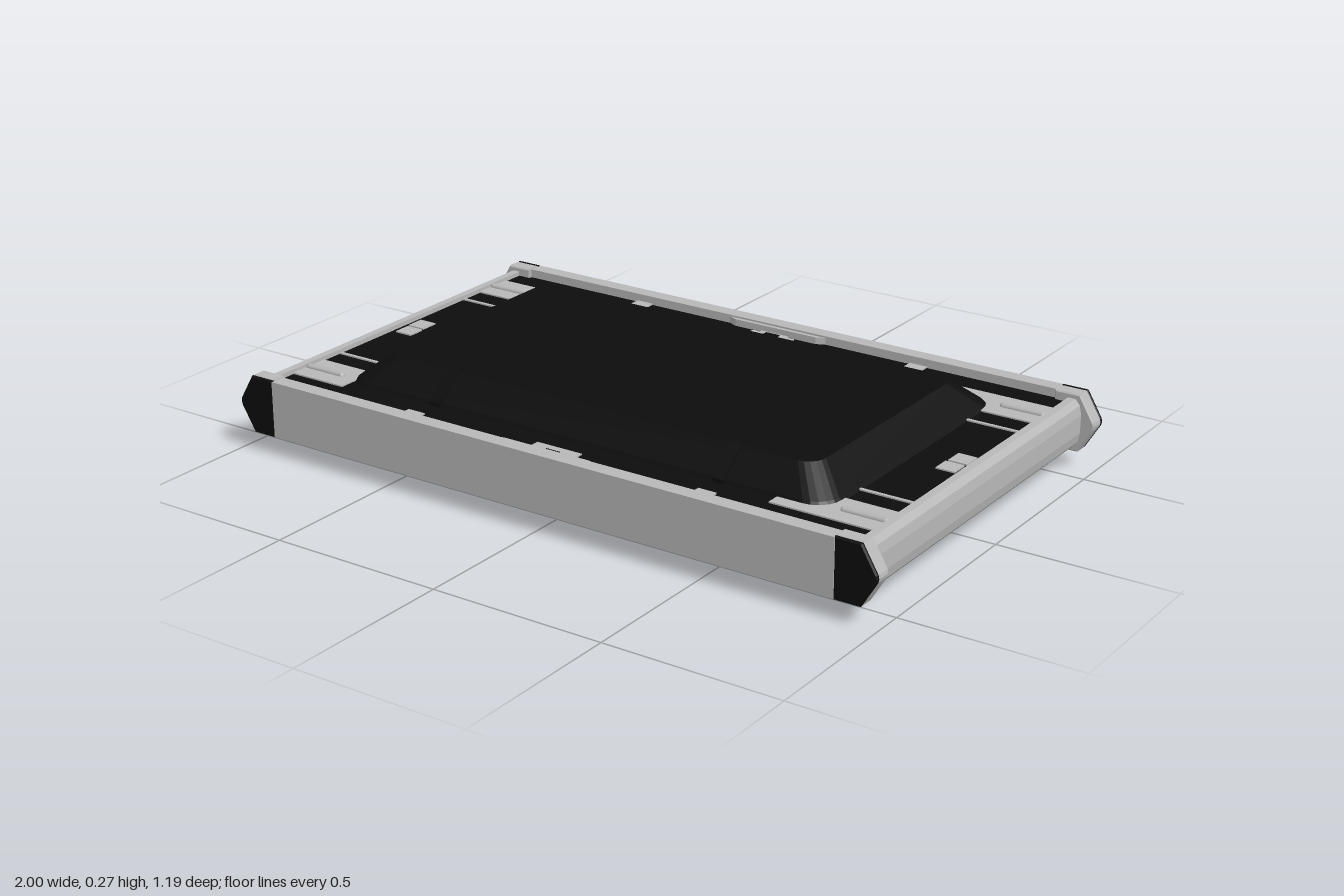
import * as THREE from 'three';

const MID = 0.135; // height of the horizontal symmetry plane

export function createModel() {
  const model = new THREE.Group();
  model.name = 'framedPanel';
  const grey = new THREE.MeshStandardMaterial({ color: 0xb8b8b8 });
  grey.name = 'greyMetal';
  const black = new THREE.MeshStandardMaterial({ color: 0x0d0d0d });
  black.name = 'blackPlastic';

  function add(name, geometry, material, x = 0, y = 0, z = 0) {
    const mesh = new THREE.Mesh(geometry, material);
    mesh.name = name;
    mesh.position.set(x, y, z);
    model.add(mesh);
    return mesh;
  }
  function box(name, material, x0, x1, y0, y1, z0, z1) {
    return add(name, new THREE.BoxGeometry(x1 - x0, y1 - y0, z1 - z0), material,
      (x0 + x1) / 2, (y0 + y1) / 2, (z0 + z1) / 2);
  }
  // Prism along z, centred on z = 0
  function prism(points, depth, bevel = 0) {
    const shape = new THREE.Shape(points.map(([x, y]) => new THREE.Vector2(x, y)));
    const g = new THREE.ExtrudeGeometry(shape, {
      depth: depth - 2 * bevel, bevelEnabled: bevel > 0, bevelSegments: 1,
      bevelSize: bevel, bevelThickness: bevel, bevelOffset: -bevel,
    });
    return g.translate(0, 0, -depth / 2 + bevel);
  }

  // Thin deck spanning the frame
  box('deck', black, -0.925, 0.925, 0.08, 0.19, -0.56, 0.56);

  // Raised centre pod: rounded rectangles stacked in height
  function loftPod(levels) {
    const pos = [], idx = [], n = 24;
    for (const [y, hx, hz, r] of levels) {
      for (let i = 0; i < n; i++) {
        const corner = Math.floor(i / 6);
        const a = (corner + (i % 6) / 5) * Math.PI / 2;
        const sx = corner === 0 || corner === 3 ? 1 : -1;
        const sz = corner < 2 ? 1 : -1;
        pos.push(sx * (hx - r) + r * Math.cos(a), y, sz * (hz - r) + r * Math.sin(a));
      }
    }
    for (let l = 0; l < levels.length - 1; l++) {
      for (let i = 0; i < n; i++) {
        const a = l * n + i, b = l * n + (i + 1) % n;
        idx.push(a, a + n, b, b, a + n, b + n);
      }
    }
    const top = (levels.length - 1) * n;
    for (let i = 1; i < n - 1; i++) {
      idx.push(0, i, i + 1, top, top + i + 1, top + i);
    }
    const indexed = new THREE.BufferGeometry();
    indexed.setAttribute('position', new THREE.Float32BufferAttribute(pos, 3));
    indexed.setIndex(idx);
    const g = indexed.toNonIndexed();
    g.computeVertexNormals();
    return g;
  }
  add('pod', loftPod([
    [0.005, 0.68, 0.355, 0.05], [0.07, 0.755, 0.428, 0.065], [0.08, 0.765, 0.435, 0.07],
    [0.19, 0.765, 0.435, 0.07], [0.2, 0.755, 0.428, 0.065], [0.265, 0.68, 0.355, 0.05],
  ]), black);

  // Straps running round the pod
  const strap = prism([
    [-0.357, 0], [0.357, 0], [0.436, 0.07], [0.436, 0.2],
    [0.357, 0.27], [-0.357, 0.27], [-0.436, 0.2], [-0.436, 0.07],
  ], 0.036).rotateY(Math.PI / 2);
  for (const x of [-0.45, 0.45]) add('strap', strap, black, x);

  // Side rails with a bowed outer face
  const sideRail = prism([
    [0.92, 0.067], [0.942, 0.067], [0.956, 0.083], [0.961, 0.11],
    [0.961, 0.16], [0.956, 0.187], [0.942, 0.203], [0.92, 0.203],
  ], 1.1);
  add('leftRail', sideRail, grey);
  add('rightRail', sideRail, grey).rotation.y = Math.PI;

  // Front and back rails with pointed ends and dark corner caps
  const tip = [[0.88, 0.053], [0.955, 0.053], [0.998, 0.125],
    [1, MID], [0.998, 0.145], [0.955, 0.217], [0.88, 0.217]];
  const endBlock = prism(tip, 0.044, 0.004);
  const cap = prism(tip, 0.012, 0.004);
  const flare = prism([[-0.165, 0], [0.165, 0], [0.135, 0.014], [-0.135, 0.014]], 0.15)
    .rotateX(-Math.PI / 2);
  for (const s of [1, -1]) {
    const back = s < 0;
    box(back ? 'backRail' : 'frontRail', grey, -0.882, 0.882, 0.055, 0.215,
      back ? -0.597 : 0.553, back ? -0.553 : 0.597);
    for (const turn of [0, Math.PI]) {
      add('railEnd', endBlock, grey, 0, 0, s * 0.565).rotation.y = turn;
      add('cornerCap', cap, black, 0, 0, s * 0.591).rotation.y = turn;
    }
    add('railFlare', flare, grey, 0, MID, s * 0.555).rotation.y = back ? Math.PI : 0;
  }

  // Thin fittings on both faces of the deck
  function plate(name, material, x0, x1, z0, z1, h = 0.004) {
    for (const y of [0.19, 0.08]) {
      const out = y > MID ? 1 : -1;
      add(name, new THREE.BoxGeometry(x1 - x0, h, z1 - z0), material,
        (x0 + x1) / 2, y + out * h / 2, (z0 + z1) / 2);
    }
  }
  const bar = new THREE.CapsuleGeometry(0.01, 0.115, 4, 8).rotateZ(Math.PI / 2);
  for (const s of [1, -1]) {
    const z0 = s > 0 ? 0.345 : -0.475, z1 = z0 + 0.125;
    plate('cornerPlate', grey, -0.92, s > 0 ? -0.745 : -0.735, z0, z1);
    plate('cornerPlate', grey, s > 0 ? 0.62 : 0.64, 0.92, z0, z1);
    for (const m of [1, -1]) {
      for (const y of [0.194, 0.076]) add('cornerBar', bar, grey, m * 0.855, y, s * 0.41);
      plate('deckSeam', grey, m > 0 ? 0.76 : -0.92, m > 0 ? 0.92 : -0.76,
        s * 0.275 - 0.005, s * 0.275 + 0.005);
      plate('edgeTab', grey, m * 0.46 - 0.027, m * 0.46 + 0.027,
        s * 0.525 - 0.028, s * 0.525 + 0.028);
    }
    // Latch with a dark slot
    plate('latch', grey, -0.07, 0.07, s * 0.508 - 0.023, s * 0.508 + 0.023);
    plate('latchNeck', grey, -0.045, 0.045, s * 0.535 - 0.012, s * 0.535 + 0.012);
    plate('latchSlot', black, -0.022, 0.022, s * 0.521 - 0.009, s * 0.521 + 0.009, 0.007);
  }
  // Paired tabs beside the side rails
  for (const m of [1, -1]) {
    plate('sideTab', grey, m * 0.88 - 0.027, m * 0.88 + 0.027, -0.06, -0.005);
    plate('sideTab', grey, m * 0.877 - 0.027, m * 0.877 + 0.027, 0.003, 0.055);
  }
  return model;
}
